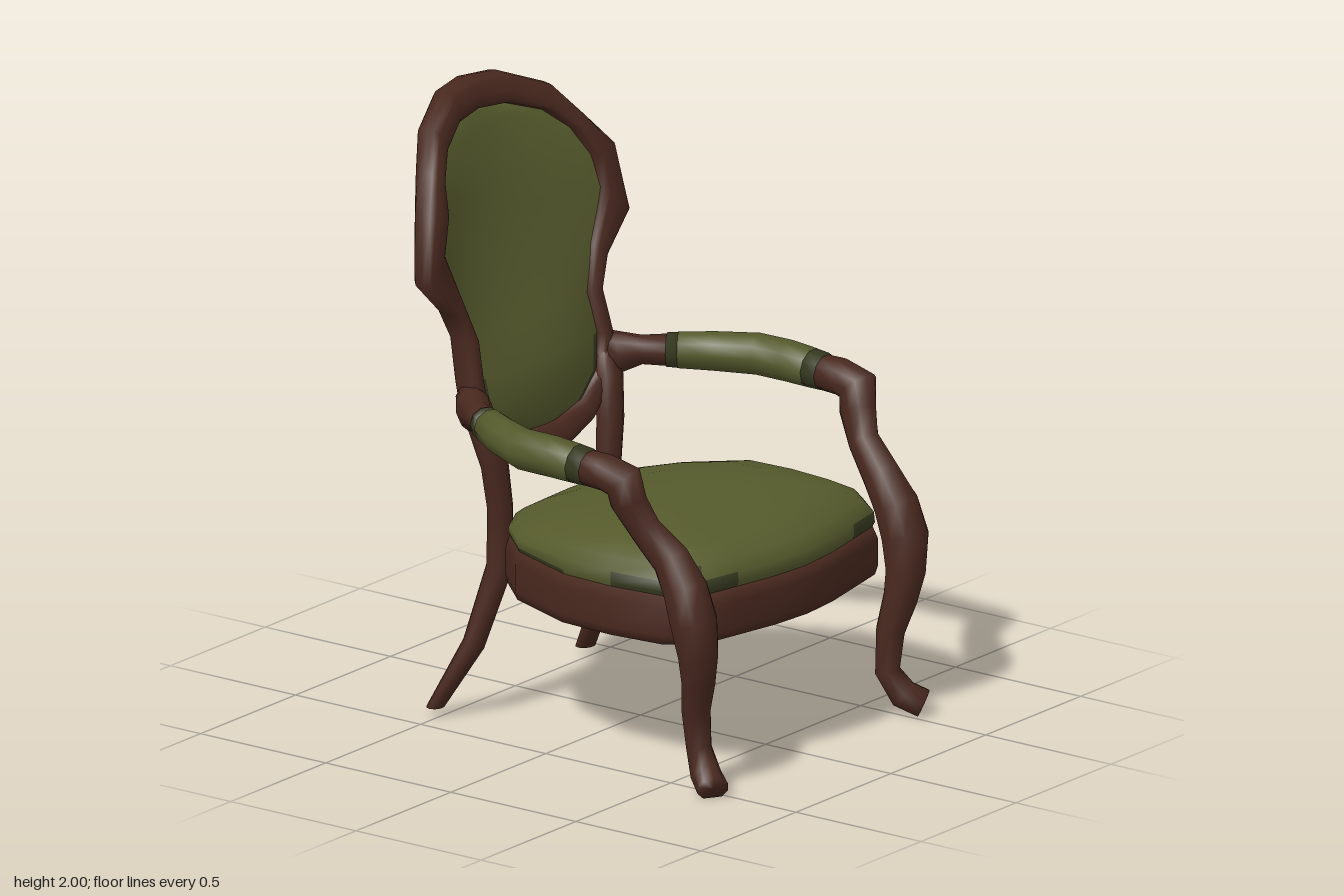
import * as THREE from 'three';

const mat = (name, color) => Object.assign(new THREE.MeshStandardMaterial({ color, side: THREE.DoubleSide }), { name });
const wood = mat('walnut wood', 0x48281e);
const fabric = mat('olive fabric', 0x555a2c);
const shade = mat('dark olive fabric', 0x373b20);

// Skin a list of rings; wrap closes each ring, loop joins the last ring to the first
function loft(name, rings, material, { wrap = true, loop = false, pick = null } = {}) {
  const n = rings[0].length, m = rings.length;
  const faces = [[], []];
  for (let i = 0; i < (loop ? m : m - 1); i++) {
    for (let j = 0; j < (wrap ? n : n - 1); j++) {
      const i2 = (i + 1) % m, j2 = (j + 1) % n;
      const a = i * n + j, b = i * n + j2, c = i2 * n + j2, d = i2 * n + j;
      faces[pick && pick(i, j) ? 1 : 0].push(a, b, c, a, c, d);
    }
  }
  const g = new THREE.BufferGeometry();
  g.setAttribute('position', new THREE.Float32BufferAttribute(rings.flat(2), 3));
  g.setIndex([...faces[0], ...faces[1]]);
  if (pick) {
    g.addGroup(0, faces[0].length, 0);
    g.addGroup(faces[0].length, faces[1].length, 1);
  }
  g.computeVertexNormals();
  const mesh = new THREE.Mesh(g, material);
  mesh.name = name;
  return mesh;
}

// Tapered limb through [x, y, z, radius, sideways radius] points, cut flat at the floor height
function limb(name, pts, side, material, floor = 0) {
  const sides = 10;
  const P = pts.map(p => new THREE.Vector3(p[0] * side, p[1], p[2]));
  const X = new THREE.Vector3(1, 0, 0);
  const place = v => [v.x, Math.max(v.y, floor), v.z];
  const rings = P.map((c, i) => {
    const t = P[Math.min(i + 1, P.length - 1)].clone().sub(P[Math.max(i - 1, 0)]).normalize();
    const b = t.clone().cross(X).normalize(), a = b.clone().cross(t);
    const r = pts[i][3], rx = pts[i][4] ?? r;
    return Array.from({ length: sides }, (_, j) => {
      const th = (j / sides) * Math.PI * 2;
      return place(c.clone().addScaledVector(a, Math.cos(th) * rx).addScaledVector(b, Math.sin(th) * r));
    });
  });
  const cap = c => Array.from({ length: sides }, () => place(c));
  return loft(name, [cap(P[0]), ...rings, cap(P[P.length - 1])], material);
}

// Back frame, right half from crest to base: outer x, y, inner x, y, mid z, panel centre z, panel half thickness
const BACK = [
  [0, 2.0, 0, 1.9, -0.69, -0.68, 0.01],
  [0.14, 1.99, 0.13, 1.89, -0.67, -0.675, 0.012],
  [0.31, 1.92, 0.27, 1.84, -0.61, -0.66, 0.02],
  [0.4, 1.81, 0.35, 1.77, -0.555, -0.645, 0.025],
  [0.49, 1.7, 0.39, 1.68, -0.5, -0.625, 0.035],
  [0.53, 1.47, 0.415, 1.57, -0.485, -0.6, 0.035],
  [0.4, 1.35, 0.35, 1.4, -0.475, -0.55, 0.04],
  [0.355, 1.26, 0.3, 1.25, -0.455, -0.49, 0.045],
  [0.37, 1.12, 0.31, 1.12, -0.425, -0.435, 0.05],
  [0.36, 0.98, 0.29, 1.01, -0.41, -0.415, 0.04],
  [0.23, 0.855, 0.2, 0.93, -0.405, -0.41, 0.03],
  [0.1, 0.805, 0.09, 0.9, -0.405, -0.41, 0.02],
  [0, 0.79, 0, 0.895, -0.405, -0.41, 0.01],
];

function backrest() {
  const group = new THREE.Group();
  group.name = 'backrest';
  const left = BACK.slice(1, -1).reverse().map(p => [-p[0], p[1], -p[2], ...p.slice(3)]);
  const soften = v => Math.sign(v) * Math.abs(v) ** 0.7;
  const rings = [...BACK, ...left].map(([ox, oy, ix, iy, z]) => {
    const hx = (ox - ix) / 2, hy = (oy - iy) / 2;
    return Array.from({ length: 12 }, (_, j) => {
      const th = (j / 12) * Math.PI * 2, c = soften(Math.cos(th)), s = soften(Math.sin(th));
      return [(ox + ix) / 2 + hx * c, (oy + iy) / 2 + hy * c, z - 0.3 * hy * c + 0.048 * s];
    });
  });
  group.add(loft('backFrame', rings, wood, { loop: true }));

  // Upholstered panel, curved backwards in the middle, darker along the lower side edges
  const columns = 16;
  for (const face of [1, -1]) {
    const rows = BACK.map(([, , ix, iy, z, zc, th]) => Array.from({ length: columns + 1 }, (_, j) => {
      const u = 1 - (2 * j) / columns, k = 1 - u * u;
      return [face * u * ix * 1.05, iy, z + (zc - z) * k + face * (0.012 + th * k)];
    }));
    group.add(loft(face > 0 ? 'backPanelFront' : 'backPanelRear', rows, [fabric, shade],
      { wrap: false, pick: (i, j) => (i === 8 || i === 9) && (j === 0 || j === columns - 1) }));
  }
  return group;
}

// Seat plan, right half from front centre to back centre
const PLAN = [[0, 0.675], [0.16, 0.66], [0.31, 0.63], [0.46, 0.6], [0.54, 0.5], [0.56, 0.3],
  [0.55, 0.1], [0.45, -0.16], [0.33, -0.29], [0.2, -0.36], [0, -0.37]];
// Dark cushion segments in each band upwards: front corners and rear sides
const DARK = [[2, 3, 4, 6, 7], [2, 3, 4], [3]];

function seat() {
  const group = new THREE.Group();
  group.name = 'seat';
  const plan = [...PLAN, ...PLAN.slice(1, -1).reverse().map(([x, z]) => [-x, z])];
  const ring = ([s, y, sag = 0]) => plan.map(([x, z]) => {
    const pz = 0.12 + (z - 0.12) * s;
    return [x * s, y - sag * Math.max(0, 0.1 - pz), pz];
  });
  group.add(loft('seatRail', [[0.94, 0.465], [0.985, 0.47], [1, 0.5], [1, 0.59], [0.975, 0.63], [0.86, 0.63], [0.86, 0.49]].map(ring),
    wood, { loop: true }));
  group.add(loft('cushion', [[0.955, 0.61], [0.985, 0.645], [0.98, 0.68, 0.05], [0.93, 0.72, 0.1], [0.8, 0.76, 0.13],
    [0.6, 0.785, 0.13], [0.3, 0.8, 0.1], [0, 0.803]].map(ring), [fabric, shade],
  { pick: (i, j) => i < DARK.length && DARK[i].includes(Math.min(j, plan.length - 1 - j)) }));
  group.add(loft('seatUnderside', [[0, 0.62], [0.5, 0.6], [0.88, 0.55]].map(ring), fabric));
  return group;
}

// One side: rear leg, arm with padded sleeve, and front leg flowing into the arm support
function sideParts(side) {
  const group = new THREE.Group();
  group.name = side > 0 ? 'leftSide' : 'rightSide';
  group.add(
    limb('rearLeg', [[0.395, 0.0, -0.52, 0.032, 0.036], [0.345, 0.25, -0.405, 0.037], [0.283, 0.5, -0.35, 0.044],
      [0.285, 0.7, -0.345, 0.04, 0.046], [0.305, 0.85, -0.352, 0.04, 0.052], [0.33, 0.98, -0.38, 0.045, 0.055],
      [0.345, 1.08, -0.41, 0.035]], side, wood, 0.03),
    limb('armRear', [[0.345, 1.035, -0.415, 0.085, 0.05], [0.375, 1.045, -0.38, 0.07, 0.06], [0.43, 1.05, -0.32, 0.047],
      [0.5, 1.05, -0.22, 0.054]], side, wood),
    limb('rearCuff', [[0.477, 1.05, -0.257, 0.055], [0.5, 1.05, -0.22, 0.058]], side, shade),
    limb('armSleeve', [[0.495, 1.05, -0.225, 0.058], [0.555, 1.05, -0.13, 0.063], [0.618, 1.05, 0.0, 0.067],
      [0.62, 1.05, 0.12, 0.067], [0.62, 1.045, 0.215, 0.064]], side, fabric),
    limb('frontCuff', [[0.62, 1.045, 0.21, 0.064], [0.62, 1.042, 0.265, 0.061]], side, shade),
    limb('frontLeg', [[0.62, 1.04, 0.24, 0.057], [0.62, 1.038, 0.33, 0.06], [0.617, 1.02, 0.4, 0.072, 0.062], [0.603, 0.95, 0.41, 0.068, 0.048],
      [0.575, 0.86, 0.455, 0.058, 0.045], [0.553, 0.77, 0.54, 0.07, 0.052], [0.555, 0.68, 0.6, 0.08, 0.07], [0.557, 0.58, 0.635, 0.08, 0.077],
      [0.547, 0.47, 0.645, 0.067], [0.532, 0.38, 0.635, 0.057], [0.512, 0.27, 0.61, 0.048], [0.497, 0.14, 0.61, 0.042],
      [0.52, 0.065, 0.655, 0.05], [0.555, 0.035, 0.71, 0.045, 0.055]], side, wood),
  );
  return group;
}

export function createModel() {
  const model = new THREE.Group();
  model.name = 'armchair';
  model.add(backrest(), seat(), sideParts(1), sideParts(-1));
  return model;
}
